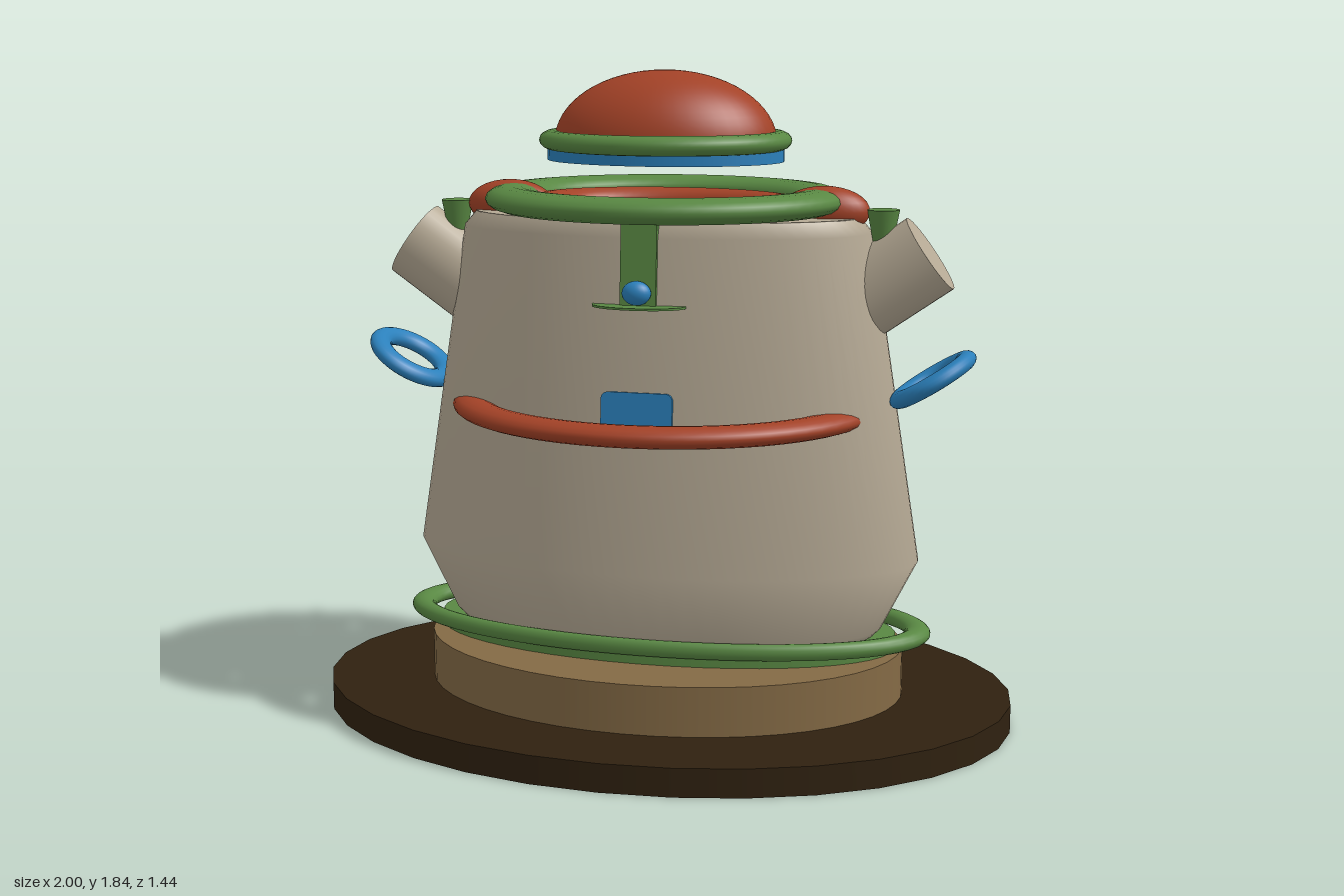
import * as THREE from 'three';

const paint = (name, color) => {
  const m = new THREE.MeshStandardMaterial({ color });
  m.name = name;
  return m;
};

export function createModel() {
  const model = new THREE.Group();
  const dark = paint('dark brown', 0x2f2110);
  const brown = paint('wood brown', 0x846a45);
  const green = paint('green', 0x598843);
  const red = paint('rust red', 0xa34227);
  const blue = paint('blue', 0x2b80bb);
  const beige = paint('beige', 0xb6aa95);

  const add = (name, geometry, material, x = 0, y = 0, z = 0, parent = model) => {
    const mesh = new THREE.Mesh(geometry, material);
    mesh.name = name;
    mesh.position.set(x, y, z);
    parent.add(mesh);
    return mesh;
  };
  // Upright oval cylinder between two heights
  const oval = (name, material, rx, rz, y0, y1, sides = 48) =>
    add(name, new THREE.CylinderGeometry(1, 1, y1 - y0, sides).scale(rx, 1, rz), material, 0, (y0 + y1) / 2);
  // Flat-lying oval ring, k is the tube radius relative to the ring radius
  const ringGeometry = (outerX, outerZ, halfHeight, k) =>
    new THREE.TorusGeometry(1, k, 16, 64).rotateX(Math.PI / 2)
      .scale(outerX / (1 + k), halfHeight / k, outerZ / (1 + k));
  const ring = (name, material, outerX, outerZ, halfHeight, k, y) =>
    add(name, ringGeometry(outerX, outerZ, halfHeight, k), material, 0, y);

  // Stand
  oval('base', dark, 1, 0.72, 0, 0.08, 32);
  oval('plinth', brown, 0.69, 0.49, 0.08, 0.22);
  oval('footCollar', green, 0.67, 0.31, 0.22, 0.26);
  ring('footRing', green, 0.77, 0.325, 0.024, 0.05, 0.268);

  // Tapered oval body
  const profile = [[0, 0.25], [0.6, 0.25], [0.63, 0.28], [0.73, 0.48], [0.585, 1.4], [0.55, 1.44]]
    .map(([r, y]) => new THREE.Vector2(r, y));
  add('body', new THREE.LatheGeometry(profile, 64).scale(1, 1, 0.48), beige);
  oval('bodyTop', beige, 0.55, 0.264, 1.43, 1.442, 64);

  // Rings around the body
  ring('belt', red, 0.61, 0.535, 0.03, 0.1, 0.9);
  ring('collar', green, 0.51, 0.44, 0.036, 0.173, 1.482);
  ring('innerCollar', red, 0.4, 0.25, 0.035, 0.2, 1.46);

  // Floating hat
  oval('hatBand', blue, 0.335, 0.24, 1.588, 1.635);
  ring('hatBrim', green, 0.355, 0.305, 0.027, 0.12, 1.645);
  add('hatDome', new THREE.SphereGeometry(1, 48, 16, 0, Math.PI * 2, 0, Math.PI / 2).scale(0.315, 0.2, 0.226), red, 0, 1.638);

  // Spouts, handles and shoulder pieces on both sides
  for (const side of [1, -1]) {
    const spout = add('spout', new THREE.CylinderGeometry(1, 1, 0.36, 32).scale(0.116, 1, 0.088), beige,
      side * 0.598, 1.245, 0);
    spout.rotation.z = -side * 0.96;
    const handle = add('handle', ringGeometry(0.135, 0.16, 0.024, 0.3), blue, side * 0.76, 1.0, 0);
    handle.rotation.z = side * 0.56;
    add('shoulder', new THREE.SphereGeometry(1, 32, 16).scale(0.125, 0.068, 0.068), red, side * 0.453, 1.458, 0);
    add('shoulderCup', new THREE.CylinderGeometry(0.045, 0.02, 0.13, 24), green, side * 0.615, 1.4, 0);
  }

  // Face details on the front
  const strip = add('frontStrip', new THREE.BoxGeometry(0.1, 0.24, 0.03), green, 0, 1.335, 0.282);
  strip.rotation.x = -0.075;
  add('frontLip', new THREE.CylinderGeometry(1, 1, 0.006, 32).scale(0.13, 1, 0.07), green, 0, 1.218, 0.29);
  add('nose', new THREE.SphereGeometry(1, 24, 16).scale(0.04, 0.033, 0.03), blue, 0, 1.256, 0.316);

  // Rounded badge under the belt
  const w = 0.1, h = 0.07, r = 0.02;
  const badge = new THREE.Shape();
  badge.absarc(w - r, h - r, r, 0, Math.PI / 2);
  badge.absarc(r - w, h - r, r, Math.PI / 2, Math.PI);
  badge.absarc(r - w, r - h, r, Math.PI, Math.PI * 1.5);
  badge.absarc(w - r, r - h, r, Math.PI * 1.5, Math.PI * 2);
  const plate = add('badge', new THREE.ExtrudeGeometry(badge, { depth: 0.009, bevelEnabled: false }), blue, 0, 0.915, 0.315);
  plate.rotation.x = -0.075;

  return model;
}
